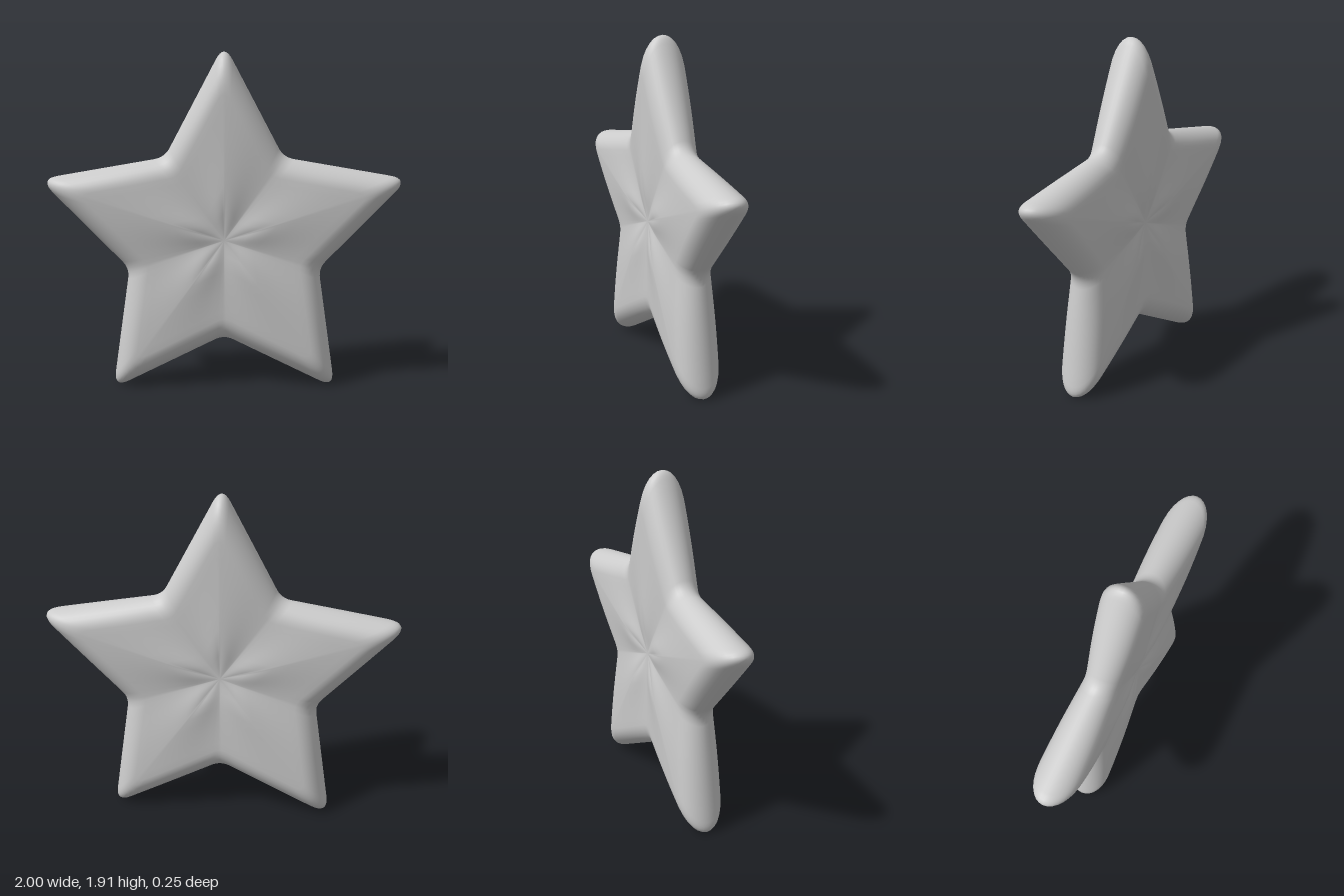
import * as THREE from 'three';
import { mergeVertices } from 'three/addons/utils/BufferGeometryUtils.js';

const CENTRE_Y = 0.855;
const TIP = 1.095, NOTCH = 0.57; // sharp corner radii before rounding
const EDGE = 0.78; // where the rounded rim begins, as a fraction of the outline

// Five-pointed outline, counterclockwise, with rounded tips and notches
function starOutline() {
  const corners = [];
  for (let i = 0; i < 10; i++) {
    const a = Math.PI / 2 + i * Math.PI / 5, r = i % 2 ? NOTCH : TIP;
    corners.push(new THREE.Vector2(Math.cos(a) * r, Math.sin(a) * r));
  }
  const toward = (a, b, d) => b.clone().sub(a).setLength(d).add(a);
  const cut = i => (i % 2 ? 0.06 : 0.1);
  const points = [];
  for (let i = 0; i < 10; i++) {
    const prev = corners[(i + 9) % 10], c = corners[i], next = corners[(i + 1) % 10];
    const start = toward(c, prev, cut(i)), end = toward(c, next, cut(i));
    points.push(...new THREE.QuadraticBezierCurve(start, c, end).getPoints(8));
    const sideEnd = toward(next, c, cut(i + 1));
    for (let k = 1; k < 10; k++) points.push(end.clone().lerp(sideEnd, k / 10));
  }
  return points;
}

// Half thickness: ridges run to the tips, valleys to the notches, rim is elliptical
function halfThickness(t, p) {
  const angle = Math.atan2(p.y, p.x) - Math.PI / 2;
  const wave = Math.cos(5 * angle);
  const linear = 1 - Math.acos(THREE.MathUtils.clamp(wave, -1, 1)) / Math.PI;
  const ridge = 0.5 * linear + 0.25 * (1 + wave);
  const rise = THREE.MathUtils.smoothstep(t, 0, 0.28);
  const body = 0.093 + rise * (0.006 + 0.027 * ridge);
  const u = Math.max(0, (t - EDGE) / (1 - EDGE));
  return body * Math.sqrt(Math.max(0, 1 - u * u));
}

function starGeometry() {
  const outline = starOutline(), n = outline.length;
  // Rings from the front centre over the rim to the back centre
  const front = [0, 0.04, 0.09, 0.15, 0.22, 0.3, 0.4, 0.5, 0.6, 0.7].map(t => ({ t, side: 1 }));
  for (let k = 0; k <= 8; k++) {
    front.push({ t: EDGE + (1 - EDGE) * Math.sin(k * Math.PI / 16), side: 1 });
  }
  const back = front.slice(0, -1).reverse().map(({ t }) => ({ t, side: -1 }));
  const rings = [...front, ...back];

  const position = [], index = [];
  rings.forEach(({ t, side }, i) => {
    outline.forEach((p, j) => {
      position.push(p.x * t, p.y * t, side * halfThickness(t, p));
      if (i === rings.length - 1) return;
      const a = i * n + j, b = i * n + (j + 1) % n;
      if (i > 0) index.push(a, b + n, b);
      if (i < rings.length - 2) index.push(a, a + n, b + n);
      else index.push(a, a + n, b);
      if (i === rings.length - 2) index.splice(-6, 3);
    });
  });
  const geometry = new THREE.BufferGeometry();
  geometry.setAttribute('position', new THREE.Float32BufferAttribute(position, 3));
  geometry.setIndex(index);
  const merged = mergeVertices(geometry, 1e-5);
  merged.computeVertexNormals();
  return merged;
}

export function createModel() {
  const group = new THREE.Group();
  group.name = 'starModel';
  const star = new THREE.Mesh(
    starGeometry(),
    new THREE.MeshStandardMaterial({ color: 0xcccccc, roughness: 0.7 })
  );
  star.name = 'star';
  star.position.y = CENTRE_Y;
  group.add(star);
  return group;
}
